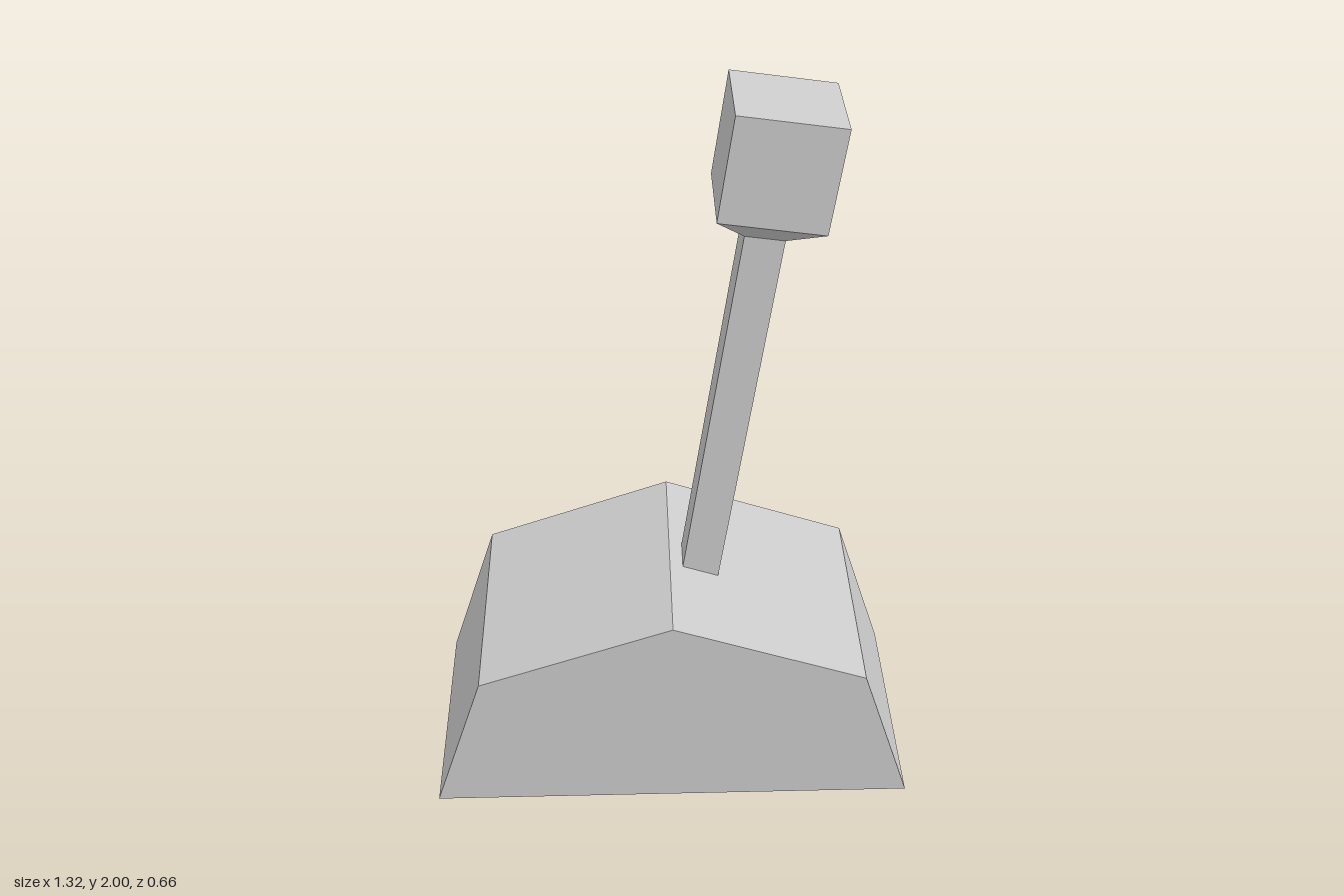
import * as THREE from 'three';

// Flat-faced geometry from a list of quads, each four corners counter-clockwise
function quads(list) {
  const pos = [];
  for (const [a, b, c, d] of list) pos.push(...a, ...b, ...c, ...a, ...c, ...d);
  const g = new THREE.BufferGeometry();
  g.setAttribute('position', new THREE.Float32BufferAttribute(pos, 3));
  g.computeVertexNormals();
  return g;
}

// Square sections [y, halfWidth] joined upwards, with an optional top face
function squareLoft(sections, capTop) {
  const ring = ([y, r]) => [[-r, y, r], [r, y, r], [r, y, -r], [-r, y, -r]];
  const list = [];
  for (let s = 0; s < sections.length - 1; s++) {
    const lo = ring(sections[s]), hi = ring(sections[s + 1]);
    for (let i = 0; i < 4; i++) {
      const j = (i + 1) % 4;
      list.push([lo[i], lo[j], hi[j], hi[i]]);
    }
  }
  if (capTop) list.push(ring(sections[sections.length - 1]));
  return quads(list);
}

export function createModel() {
  const model = new THREE.Group();
  model.name = 'lever';
  const grey = new THREE.MeshStandardMaterial({ color: 0xcccccc, side: THREE.DoubleSide });
  grey.name = 'grey';
  const add = (parent, name, geometry) => {
    const mesh = new THREE.Mesh(geometry, grey);
    mesh.name = name;
    parent.add(mesh);
    return mesh;
  };

  // Hollow housing, open underneath
  const housing = new THREE.Group();
  housing.name = 'housing';
  model.add(housing);
  const depth = 0.33;
  const profile = [[0.66, 0.028], [0.522, 0.455], [0, 0.64], [-0.522, 0.455], [-0.66, 0.028]];
  const wall = new THREE.ShapeGeometry(new THREE.Shape(profile.map(([x, y]) => new THREE.Vector2(x, y))));
  add(housing, 'frontWall', wall).position.z = depth;
  const back = add(housing, 'backWall', wall);
  back.position.z = -depth;
  back.rotation.y = Math.PI;
  const shell = [];
  for (let i = 0; i < profile.length - 1; i++) {
    const [a, b] = [profile[i], profile[i + 1]];
    shell.push([[...a, depth], [...a, -depth], [...b, -depth], [...b, depth]]);
  }
  add(housing, 'endsAndRoof', quads(shell));

  // Tilted handle passing through the roof
  const handle = new THREE.Group();
  handle.name = 'handle';
  handle.position.y = 0.007;
  handle.rotation.z = -0.14;
  model.add(handle);
  add(handle, 'shaft', squareLoft([[0, 0.051], [1.652, 0.051]], false));
  add(handle, 'knob', squareLoft([[1.652, 0.051], [1.72, 0.134], [1.994, 0.134]], true));

  return model;
}
